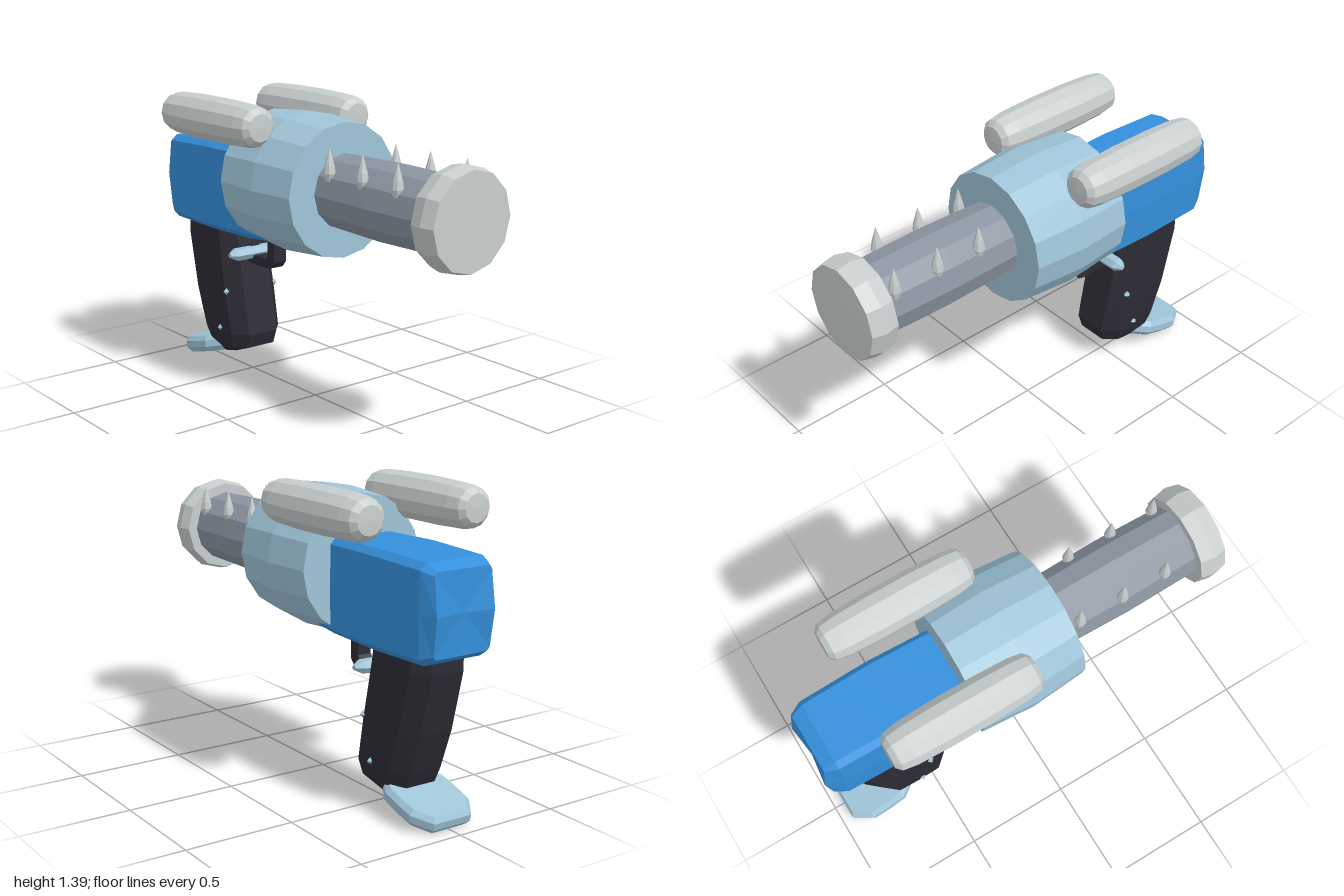
import * as THREE from 'three';

const paint = (name, color) => Object.assign(new THREE.MeshStandardMaterial({ color }), { name });
const AXIS_Y = 1.024; // height of the barrel axis

// Facet a geometry so that every polygon is flat shaded
function facet(geo) {
  const g = geo.index ? geo.toNonIndexed() : geo;
  g.computeVertexNormals();
  return g;
}

// Closed skin through a list of rings with equal point counts
function loft(rings) {
  const n = rings[0].length, tris = [];
  const quad = (a, b, c, d) => tris.push([a, b, c], [a, c, d]);
  for (let i = 0; i < rings.length - 1; i++)
    for (let j = 0; j < n; j++) {
      const k = (j + 1) % n;
      quad(rings[i][j], rings[i][k], rings[i + 1][k], rings[i + 1][j]);
    }
  const first = rings[0], last = rings[rings.length - 1];
  const middle = r => r.reduce((s, p) => s.add(p), new THREE.Vector3()).divideScalar(n);
  const c0 = middle(first), c1 = middle(last);
  for (let j = 0; j < n; j++) {
    const k = (j + 1) % n;
    tris.push([c0, first[k], first[j]], [c1, last[j], last[k]]);
  }
  // Turn the skin outwards when its signed volume is negative
  const cross = new THREE.Vector3();
  let volume = 0;
  for (const [a, b, c] of tris)
    volume += cross.crossVectors(b.clone().sub(c0), c.clone().sub(c0)).dot(a.clone().sub(c0));
  const points = tris.flatMap(t => (volume < 0 ? [t[0], t[2], t[1]] : t));
  return facet(new THREE.BufferGeometry().setFromPoints(points));
}

// Lathe around the z axis; profile is [radius, z] from back to front
function turned(profile, sides) {
  const pts = profile.map(([r, z]) => new THREE.Vector2(r, z));
  return facet(new THREE.LatheGeometry(pts, sides).rotateX(Math.PI / 2));
}

// Chamfered rectangle in plan, narrower towards its ends
function plan(y, zFront, zBack, w, cx, cz) {
  const zm = (zFront + zBack) / 2;
  return [
    [w - cx, zFront], [w, zFront - cz], [w * 1.02, zm], [w, zBack + cz], [w - cx, zBack],
    [cx - w, zBack], [-w, zBack + cz], [-w * 1.02, zm], [-w, zFront - cz], [cx - w, zFront],
  ].map(([x, z]) => new THREE.Vector3(x, y, z));
}

export function createModel() {
  const model = new THREE.Group();
  const paleBlue = paint('pale blue', 0x9fc5d8);
  const blue = paint('bright blue', 0x3590dc);
  const black = paint('charcoal', 0x2c2b34);
  const grey = paint('barrel grey', 0x8c95a2);
  const silver = paint('silver', 0xc8cece);
  const add = (name, geo, mat, x = 0, y = 0, z = 0) => {
    const m = new THREE.Mesh(geo, mat);
    m.name = name;
    m.position.set(x, y, z);
    model.add(m);
    return m;
  };

  // Barrel, muzzle ring and drum on one axis
  add('barrel', turned([[0, 0.1], [0.168, 0.1], [0.168, 0.2], [0.176, 0.54], [0.168, 0.9], [0, 0.9]], 12),
    grey, 0, AXIS_Y);
  add('muzzle', turned([[0, 0.87], [0.214, 0.87], [0.228, 0.935], [0.213, 0.998], [0, 1.0]], 12),
    silver, 0, AXIS_Y);
  add('drum', turned([[0, -0.305], [0.307, -0.305], [0.325, -0.05], [0.305, 0.205], [0, 0.205]], 16),
    paleBlue, 0, AXIS_Y);

  // Twin side pods on top
  const pod = turned([[0, -0.352], [0.063, -0.348], [0.088, -0.325], [0.099, -0.26], [0.105, -0.1],
    [0.105, 0.1], [0.099, 0.26], [0.088, 0.325], [0.063, 0.348], [0, 0.352]], 12);
  for (const s of [-1, 1]) add(s > 0 ? 'leftPod' : 'rightPod', pod, silver, s * 0.274, 1.297, -0.383);

  // Staggered teardrop spikes along the barrel
  const spike = facet(new THREE.LatheGeometry([[0, 0], [0.018, 0.006], [0.027, 0.04], [0.022, 0.075],
    [0.01, 0.12], [0, 0.155]].map(p => new THREE.Vector2(...p)), 8));
  for (let i = 0; i < 3; i++) {
    add('leftSpike', spike, silver, 0.136, 1.088, 0.39 + i * 0.217);
    add('rightSpike', spike, silver, -0.14, 1.088, 0.275 + i * 0.217);
  }

  // Rear housing: chamfered sections along z, last one bowed backwards
  const section = (z, w, y0, y1, c, bow = 0) => {
    const ym = (y0 + y1) / 2;
    return [[w - c, y1], [w, y1 - c], [w * 1.02, ym], [w, y0 + c], [w - c, y0],
      [c - w, y0], [-w, y0 + c], [-w * 1.02, ym], [-w, y1 - c], [c - w, y1]]
      .map(([x, y]) => new THREE.Vector3(x, y, y === ym ? z - bow : z));
  };
  add('housing', loft([
    section(-0.17, 0.16, 0.745, 1.13, 0.02),
    section(-0.3, 0.168, 0.732, 1.152, 0.025),
    section(-0.6, 0.178, 0.727, 1.157, 0.028),
    section(-0.92, 0.172, 0.731, 1.147, 0.028),
    section(-0.978, 0.145, 0.765, 1.118, 0.015, 0.022),
  ]), blue);

  // Raked grip
  add('grip', loft([
    plan(0.76, -0.52, -0.89, 0.138, 0.055, 0.06),
    plan(0.67, -0.5, -0.896, 0.141, 0.06, 0.07),
    plan(0.4, -0.448, -0.828, 0.146, 0.062, 0.07),
    plan(0.215, -0.41, -0.765, 0.142, 0.062, 0.07),
    plan(0.145, -0.43, -0.735, 0.125, 0.05, 0.06),
    plan(0.095, -0.56, -0.68, 0.09, 0.03, 0.03),
  ]), black);

  // Tilted foot plate under the grip
  const foot = add('footPlate', loft([
    plan(-0.04, 0.165, -0.16, 0.135, 0.05, 0.08),
    plan(-0.015, 0.18, -0.178, 0.157, 0.06, 0.09),
    plan(0.018, 0.18, -0.178, 0.157, 0.06, 0.09),
    plan(0.04, 0.165, -0.16, 0.138, 0.05, 0.08),
  ]), paleBlue, 0, 0.09, -0.775);
  foot.rotation.x = -0.265;

  // Trigger guard: drop bar, mitred corner and floor bar as one strip
  const guard = new THREE.Shape([[0.27, 0.76], [0.27, 0.6], [0.295, 0.57], [0.32, 0.563], [0.53, 0.563],
    [0.53, 0.61], [0.335, 0.607], [0.322, 0.622], [0.322, 0.76]].map(p => new THREE.Vector2(...p)));
  add('triggerGuard', facet(new THREE.ExtrudeGeometry(guard, { depth: 0.07, bevelEnabled: false })
    .translate(0, 0, -0.035).rotateY(Math.PI / 2)), black);

  // Cross bar trigger with tapered ends, on a short stem
  const barRing = (x, r) => Array.from({ length: 6 }, (_, i) => {
    const a = i * Math.PI / 3;
    return new THREE.Vector3(x, 0.617 + Math.sin(a) * r * 0.95, -0.462 + Math.cos(a) * r * 1.15);
  });
  add('trigger', loft([barRing(-0.155, 0.012), barRing(-0.12, 0.033), barRing(0.12, 0.033),
    barRing(0.155, 0.012)]), paleBlue);
  add('triggerStem', facet(new THREE.BoxGeometry(0.05, 0.06, 0.05)), black, 0, 0.622, -0.492);

  // Grip studs
  const stud = facet(new THREE.OctahedronGeometry(0.018));
  for (const s of [-1, 1])
    for (const [y, z, x] of [[0.425, -0.515, 0.143], [0.232, -0.57, 0.143]])
      add(s > 0 ? 'leftStud' : 'rightStud', stud, paleBlue, s * x, y, z);

  return model;
}
